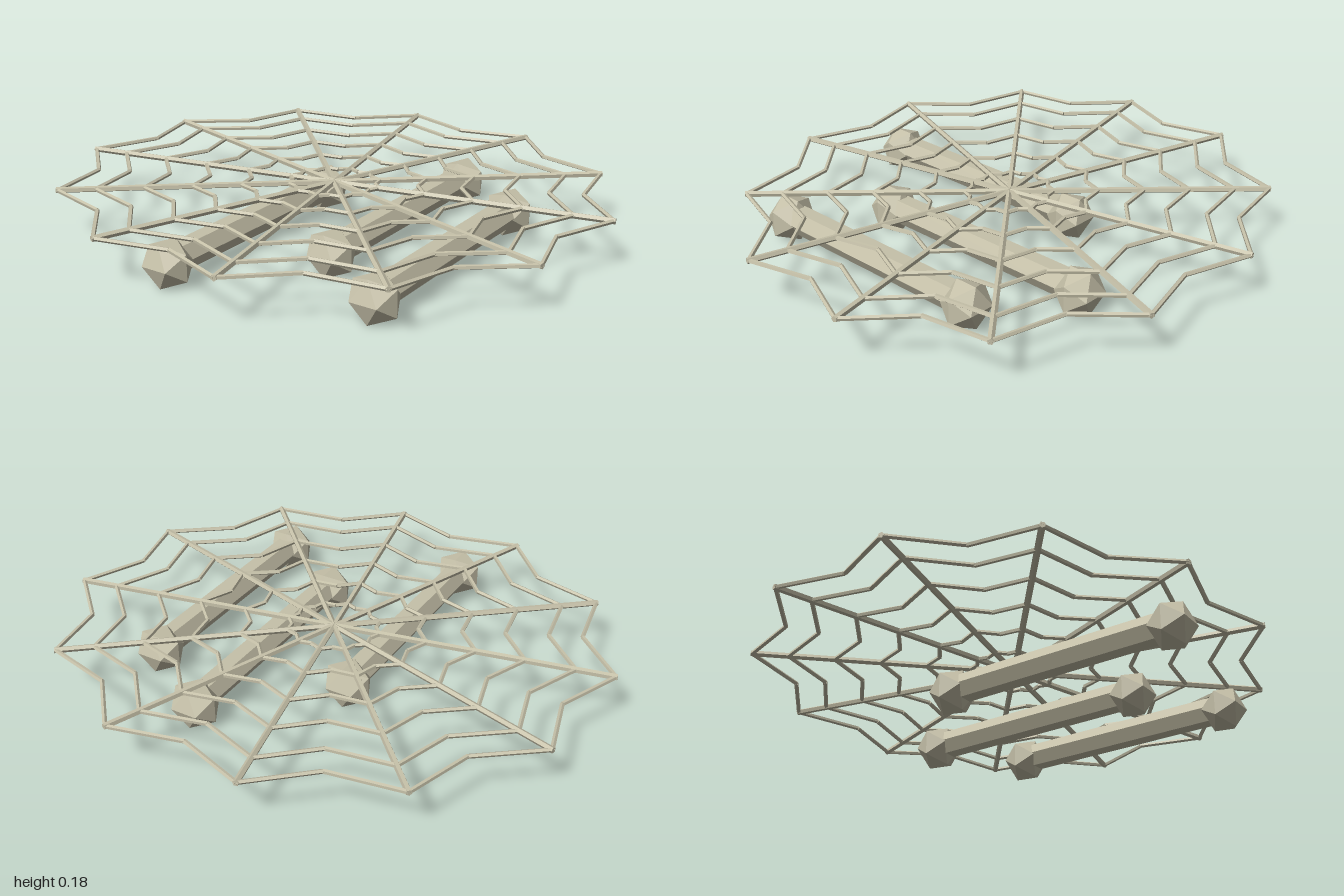
import * as THREE from 'three';

const boneMaterial = new THREE.MeshStandardMaterial({ color: 0xc6c1a9, flatShading: true });
boneMaterial.name = 'bone';

const WEB_Y = 0.178;   // height of the flat web
const Z_SCALE = 0.915; // the web is slightly oval
const SPOKES = 12;

// Point on the oval web at a given angle and radius
function webPoint(angle, radius) {
  return new THREE.Vector3(Math.cos(angle) * radius, WEB_Y, Math.sin(angle) * radius * Z_SCALE);
}

// Thin low-poly strand between two points
function strand(name, a, b, radius) {
  const length = a.distanceTo(b);
  const mesh = new THREE.Mesh(new THREE.CylinderGeometry(radius, radius, length, 5), boneMaterial);
  mesh.name = name;
  mesh.position.addVectors(a, b).multiplyScalar(0.5);
  mesh.quaternion.setFromUnitVectors(new THREE.Vector3(0, 1, 0), b.clone().sub(a).normalize());
  return mesh;
}

function createWeb() {
  const web = new THREE.Group();
  web.name = 'web';
  const step = (Math.PI * 2) / SPOKES;
  const centre = new THREE.Vector3(0, WEB_Y, 0);

  // Radial spokes
  for (let i = 0; i < SPOKES; i++) {
    web.add(strand('spoke', centre, webPoint(i * step, 0.998), 0.011));
  }

  // Rings that sag inwards between the spokes
  for (const r of [0.17, 0.34, 0.515, 0.687, 0.859, 0.993]) {
    for (let i = 0; i < SPOKES; i++) {
      const sag = webPoint((i + 0.5) * step, r * 0.885);
      web.add(strand('ringStrand', webPoint(i * step, r), sag, 0.008));
      web.add(strand('ringStrand', sag, webPoint((i + 1) * step, r), 0.008));
    }
  }
  return web;
}

// Bone with a hexagonal shaft and a faceted knob at each end
function createBone(x, z) {
  const length = 0.88;
  const bone = new THREE.Group();
  bone.name = 'bone';

  const shaftGeometry = new THREE.CylinderGeometry(0.052, 0.052, length, 6);
  shaftGeometry.rotateY(Math.PI / 6).rotateX(Math.PI / 2);
  const shaft = new THREE.Mesh(shaftGeometry, boneMaterial);
  shaft.name = 'shaft';
  shaft.position.y = 0.005;
  bone.add(shaft);

  const knobGeometry = new THREE.IcosahedronGeometry(0.094, 0);
  knobGeometry.rotateX(Math.PI / 2).scale(1, 0.95, 0.86);
  for (const side of [-1, 1]) {
    const knob = new THREE.Mesh(knobGeometry, boneMaterial);
    knob.name = 'knob';
    knob.position.z = (side * length) / 2;
    bone.add(knob);
  }

  bone.position.set(x, 0.081, z);
  bone.rotation.y = Math.atan2(-0.182, 0.865);
  return bone;
}

export function createModel() {
  const model = new THREE.Group();
  model.name = 'webOverBones';
  model.add(createWeb());

  // Three parallel bones lying under the web
  for (const [x, z] of [[-0.205, 0.243], [0.245, -0.035], [0.5, 0.233]]) {
    model.add(createBone(x, z));
  }
  return model;
}
